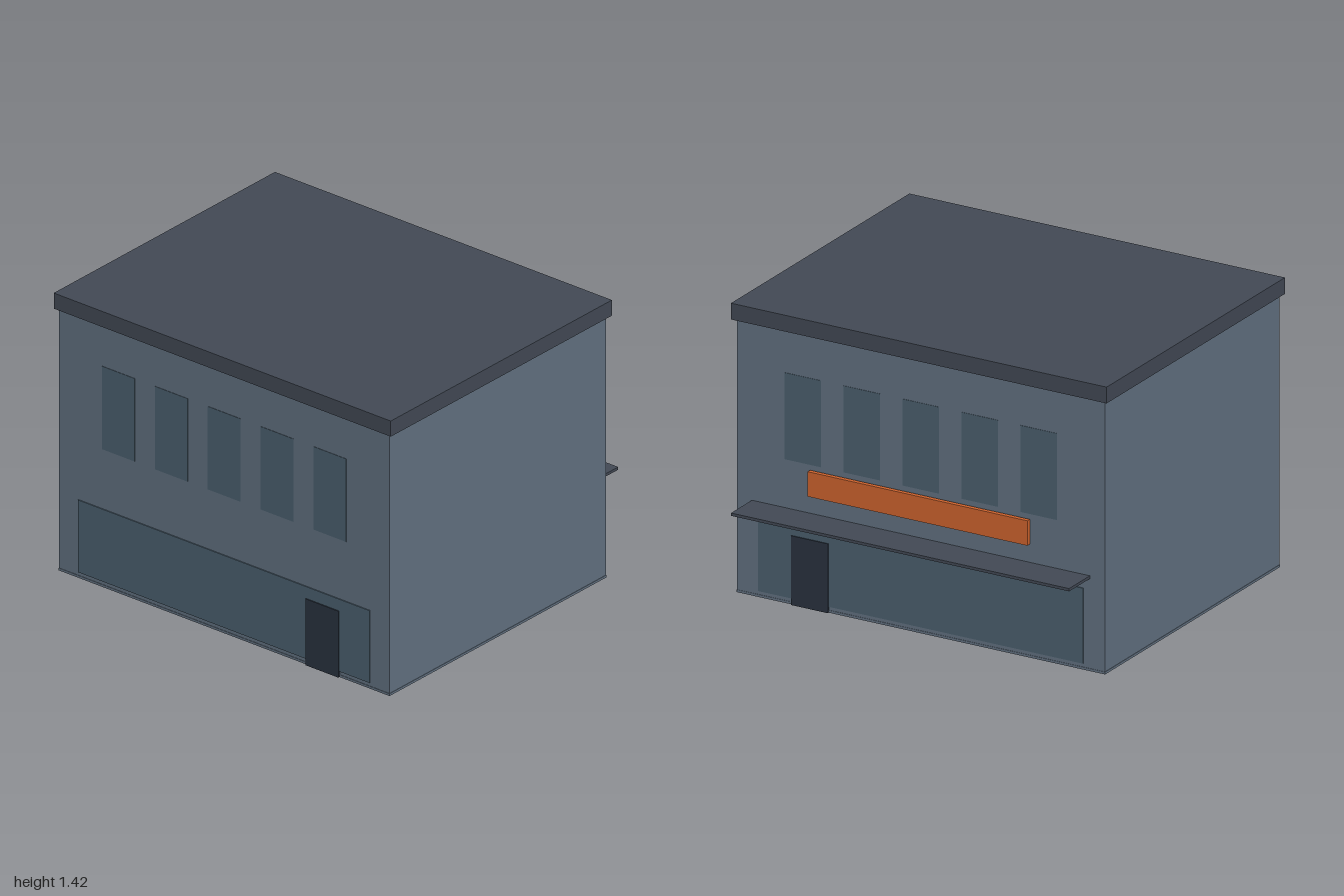
import * as THREE from 'three';

const paint = (color) => new THREE.MeshStandardMaterial({ color });

export function createModel() {
  const group = new THREE.Group();
  group.name = 'shopBuilding';
  const wall = paint(0x637282);
  const glass = paint(0x4c6170);
  const dark = paint(0x2a3340);
  const roof = paint(0x434a56);
  const orange = paint(0xd1652f);

  // Box given by its limits on each axis
  function box(name, material, [x0, x1], [y0, y1], [z0, z1]) {
    const mesh = new THREE.Mesh(new THREE.BoxGeometry(x1 - x0, y1 - y0, z1 - z0), material);
    mesh.position.set((x0 + x1) / 2, (y0 + y1) / 2, (z0 + z1) / 2);
    mesh.name = name;
    group.add(mesh);
  }

  const back = -0.686, front = 0.855;

  // Main volume on a thin footing, with an overhanging flat roof
  box('footing', wall, [-0.982, 0.982], [0, 0.012], [back - 0.002, front + 0.002]);
  box('walls', wall, [-0.98, 0.98], [0.012, 1.34], [back, front]);
  box('roofSlab', roof, [-1, 1], [1.34, 1.42], [-0.705, 0.87]);

  // Glazing and doors, the same on the front and back walls
  for (const [face, dir] of [[front, 1], [back, -1]]) {
    const side = dir > 0 ? 'front' : 'back';
    const depth = (out) => [face - 0.01 * dir, face + out * dir].sort((a, b) => a - b);
    box(side + 'ShopWindow', glass, [-0.865, 0.865], [0.03, 0.4], depth(0.005));
    box(side + 'Door', dark, [0.49, 0.685], [0, 0.34], depth(0.01));
    for (let i = -2; i <= 2; i++) {
      const x = i * 0.314;
      box(side + 'UpperWindow', glass, [x - 0.097, x + 0.097], [0.705, 1.13], depth(0.002));
    }
  }

  // Canopy and sign board over the rear shopfront
  box('canopy', roof, [-0.9, 0.9], [0.453, 0.467], [-0.87, back]);
  box('signBoard', orange, [-0.585, 0.585], [0.56, 0.682], [-0.716, -0.694]);

  return group;
}
